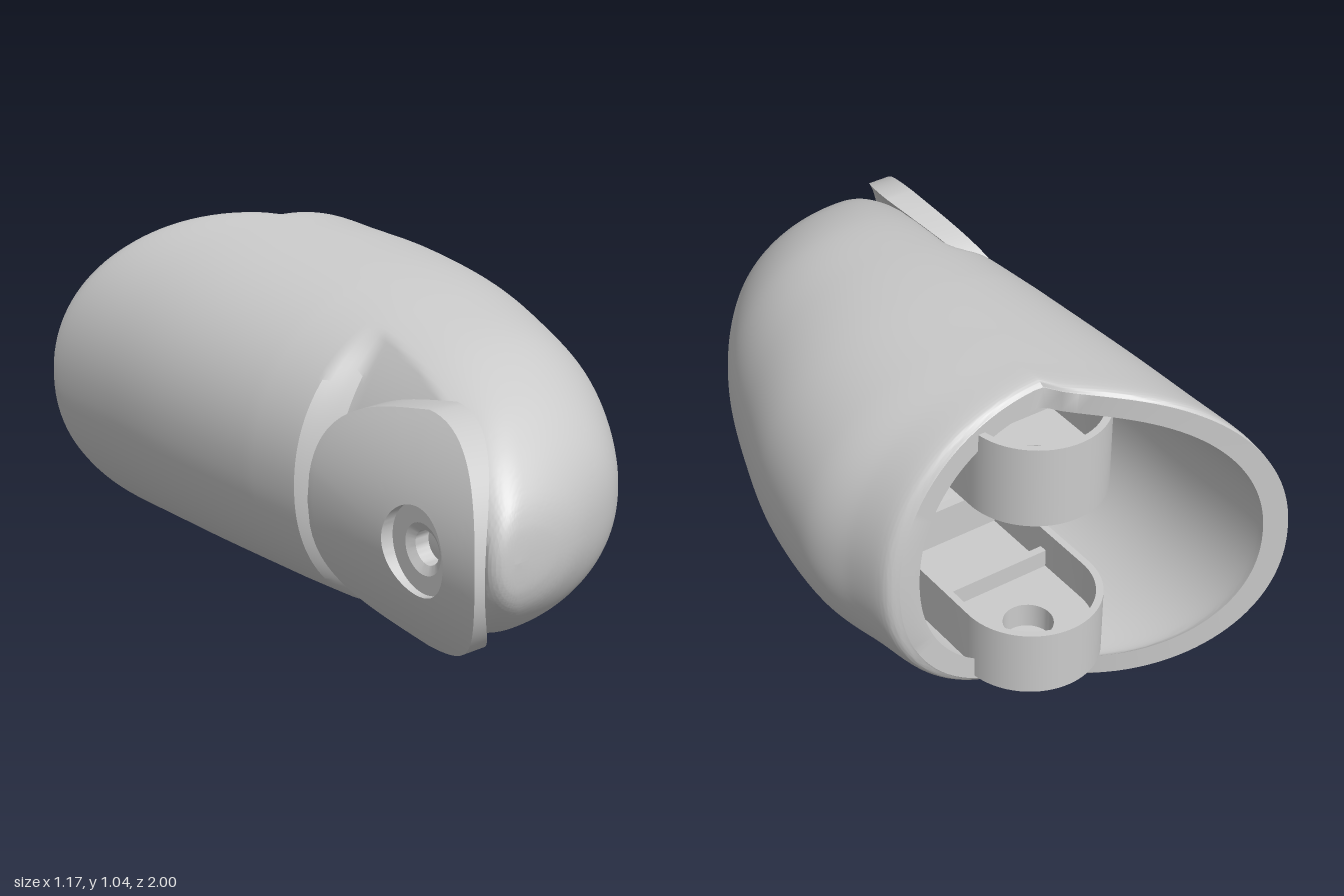
import * as THREE from 'three';
import { toCreasedNormals } from 'three/addons/utils/BufferGeometryUtils.js';

const MID = 0.52; // height of the centre line
const clamp = (v) => Math.min(1, Math.max(0, v));
const pow = (v, p) => Math.sign(v) * Math.pow(Math.abs(v), p);
const lerp = THREE.MathUtils.lerp;

function add(parent, name, geometry) {
  const material = new THREE.MeshStandardMaterial({ color: 0xcccccc, side: THREE.DoubleSide });
  const mesh = new THREE.Mesh(geometry, material);
  mesh.name = name;
  parent.add(mesh);
  return mesh;
}

// Closed rings (angle u) stacked in rows, point(u, row) -> [x, y, z]
function ringGrid(point, rows, sides, crease) {
  const pos = [], index = [];
  for (let j = 0; j < rows; j++)
    for (let i = 0; i < sides; i++) pos.push(...point((i / sides) * Math.PI * 2, j));
  for (let j = 0; j < rows - 1; j++)
    for (let i = 0; i < sides; i++) {
      const k = (i + 1) % sides;
      const a = j * sides + i, b = j * sides + k, c = a + sides, d = b + sides;
      index.push(a, c, b, b, c, d);
    }
  const g = new THREE.BufferGeometry();
  g.setAttribute('position', new THREE.Float32BufferAttribute(pos, 3));
  g.setIndex(index);
  return toCreasedNormals(g, crease);
}

// Body stations: z, side at -x, side at +x, half height, x of the crest
const STATIONS = [
  [-0.60, -0.585, 0.47, 0.505, -0.03],
  [-0.57, -0.585, 0.51, 0.52, -0.03],
  [-0.45, -0.58, 0.54, 0.515, -0.03],
  [-0.27, -0.575, 0.58, 0.505, -0.03],
  [0.00, -0.555, 0.545, 0.488, -0.03],
  [0.25, -0.535, 0.465, 0.462, -0.06],
  [0.50, -0.51, 0.36, 0.42, -0.10],
  [0.70, -0.49, 0.23, 0.35, -0.18],
  [0.83, -0.475, 0.10, 0.27, -0.26],
  [0.92, -0.455, -0.08, 0.18, -0.32],
  [0.96, -0.43, -0.22, 0.10, -0.36],
  [0.97, -0.38, -0.38, 0, -0.38],
];

// Smooth interpolation between stations, s from 0 (back) to the last (nose)
function station(s) {
  const n = STATIONS.length - 1;
  const i = Math.min(n - 1, Math.floor(s)), t = s - i;
  return STATIONS[i].map((b, c) => {
    const e = STATIONS[i + 1][c];
    const a = i > 0 ? STATIONS[i - 1][c] : b;
    const f = i + 2 <= n ? STATIONS[i + 2][c] : e;
    const m0 = (e - a) / 2, m1 = (f - b) / 2;
    return b + t * m0 + t * t * (3 * (e - b) - 2 * m0 - m1) + t * t * t * (2 * (b - e) + m0 + m1);
  });
}

function bodyPoint(u, s, wall) {
  const [z0, l, r, h, cx] = station(s);
  const c = pow(Math.cos(u), 0.94);
  let x = cx + c * (c > 0 ? r - cx - wall : cx - l - wall);
  const dy = pow(Math.sin(u), 0.94) * (h - wall);
  // The -x side of the opening sweeps further back
  const sweep = x < 0 ? -0.4 * Math.pow(Math.min(1, -x / 0.585), 0.7) : 0;
  const z = z0 + sweep * clamp(-z0 / 0.6);
  // Curved recess behind the side plate
  const recess = -0.45 + 1.04 * dy * dy;
  if (!wall && x < recess) x = lerp(x, recess, clamp((z - 0.2) / 0.07));
  return [x, MID + dy, z];
}

// Hollow body: outer skin from nose to rim, then the cavity back to its floor
function shellGeometry() {
  const outer = 154, inner = 36, last = STATIONS.length - 1, floorAt = 5;
  return ringGrid((u, j) => {
    if (j <= outer) return bodyPoint(u, last * (1 - j / outer), 0);
    const k = j - outer - 1;
    if (k <= inner) return bodyPoint(u, (floorAt * k) / inner, 0.065);
    return [-0.05, MID, 0.27];
  }, outer + inner + 3, 128, 0.6);
}

// Curved side plate, rounded in front, squarer behind, thicker around its hole
function plateGeometry() {
  const steps = 14;
  return ringGrid((u, j) => {
    const c = Math.cos(u), s = Math.sin(u);
    const p = c > 0 ? 1 : 0.5;
    const ez = 0.65 + pow(c, p) * (c > 0 ? 0.35 : 0.37);
    const ey = 0.35 * pow(s, p) * (1 - 0.2 * clamp((0.65 - ez) / 0.37));
    const closing = j === 2 * steps + 2;
    const onOuter = j <= steps || closing;
    const f = closing ? 0 : onOuter ? j / steps : 1 - (j - steps - 1) / steps;
    const z = lerp(0.74 + 0.13 * c, ez, f);
    const dy = lerp(0.13 * s, ey, f);
    const x = onOuter ? -0.555 + 1.1 * dy * dy : -0.52 + 1.6 * dy * dy + 0.06 * (1 - f);
    return [x, MID + dy, z];
  }, 2 * steps + 3, 80, 0.6);
}

// Hinge lug outline: sides ending in a half circle, optionally flared inwards
function lugOutline(Kind, r, start, flare = 0) {
  const p = new Kind();
  p.moveTo(-r - flare, start);
  p.lineTo(r + flare, start);
  p.lineTo(r, 0.42);
  p.lineTo(r, 0.57);
  p.absarc(0, 0.57, r, 0, Math.PI, false);
  p.lineTo(-r, 0.42);
  p.closePath();
  return p;
}

function slab(shape, y, height) {
  const g = new THREE.ExtrudeGeometry(shape, { depth: height, bevelEnabled: false, curveSegments: 24 });
  g.rotateX(-Math.PI / 2);
  g.translate(0, y, 0);
  return toCreasedNormals(g, 0.6);
}

// Cup-shaped lug with a bored floor
function makeLug(name, y0, y1, floorHeight, floorStart, flare) {
  const lug = new THREE.Group();
  lug.name = name;
  const wall = lugOutline(THREE.Shape, 0.215, 0.1);
  wall.holes.push(lugOutline(THREE.Path, 0.193, 0.13));
  add(lug, 'lugWall', slab(wall, y0, y1 - y0));
  const floor = lugOutline(THREE.Shape, 0.205, floorStart, flare);
  const bore = new THREE.Path();
  bore.absarc(0, 0.57, 0.075, 0, Math.PI * 2, true);
  floor.holes.push(bore);
  add(lug, 'lugFloor', slab(floor, y0 + 0.001, floorHeight));
  const rib = add(lug, 'lugRib', new THREE.BoxGeometry(0.4, 0.14, 0.025));
  rib.position.set(0, y0 + 0.07, -0.38);
  return lug;
}

export function createModel() {
  const model = new THREE.Group();
  model.name = 'hollowHousing';

  add(model, 'shell', shellGeometry());
  add(model, 'sidePlate', plateGeometry());

  // Bored screw seat in the plate's hole
  const profile = [[0.05, 0], [0.135, 0], [0.135, 0.06], [0.075, 0.06], [0.05, 0.045], [0.05, 0]];
  const seat = new THREE.LatheGeometry(profile.map(([r, y]) => new THREE.Vector2(r, y)), 40);
  seat.rotateZ(Math.PI / 2);
  const seatMesh = add(model, 'screwSeat', toCreasedNormals(seat, 0.5));
  seatMesh.position.set(-0.455, MID, 0.74);

  model.add(makeLug('upperHingeLug', 0.69, 0.95, 0.06, -0.15, 0.11));
  model.add(makeLug('lowerHingeLug', 0.08, 0.29, 0.08, 0.11, 0));
  return model;
}
